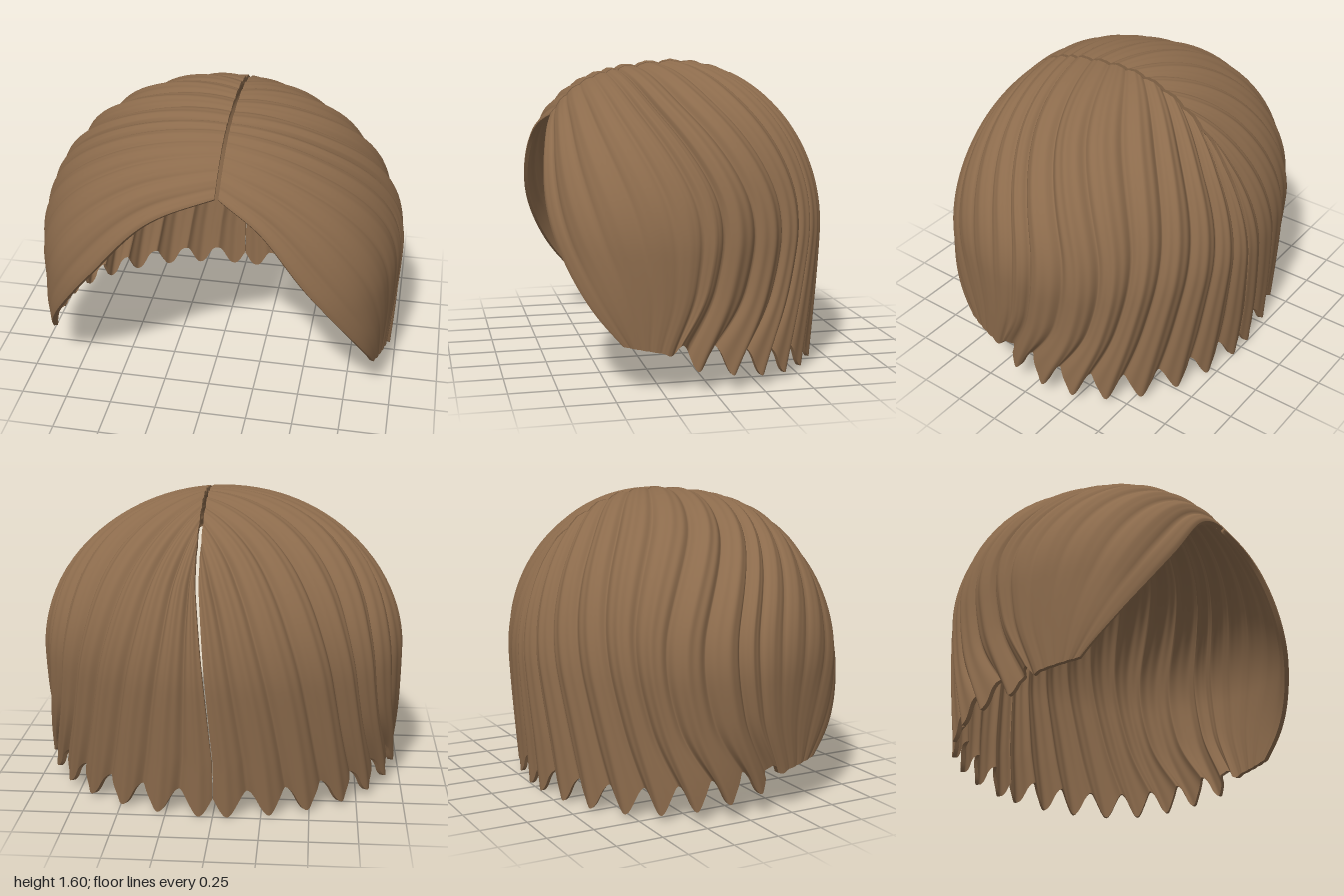
import * as THREE from 'three';

// Guide strands for one half, from the back seam round to the front edge.
// Each runs parting -> crown -> temple -> lower -> hem.
const GUIDES = [
  [[0.01, 1.28, -0.56], [0.008, 1.05, -0.72], [0.005, 0.75, -0.79], [0.003, 0.4, -0.77], [0.002, 0.07, -0.73]],
  [[0.01, 1.48, -0.34], [0.16, 1.28, -0.55], [0.28, 0.92, -0.72], [0.36, 0.5, -0.71], [0.42, 0.08, -0.67]],
  [[0.01, 1.57, -0.1], [0.35, 1.39, -0.36], [0.62, 0.95, -0.59], [0.71, 0.5, -0.55], [0.77, 0.1, -0.45]],
  [[0.01, 1.58, 0.13], [0.53, 1.41, -0.04], [0.86, 0.92, -0.34], [0.92, 0.5, -0.31], [0.95, 0.15, -0.13]],
  [[0.01, 1.52, 0.38], [0.52, 1.39, 0.32], [0.93, 0.95, 0.1], [0.98, 0.55, 0.1], [0.96, 0.21, 0.21]],
  [[0.01, 1.31, 0.68], [0.3, 1.18, 0.77], [0.57, 0.86, 0.78], [0.79, 0.48, 0.6], [0.9, 0.25, 0.44]],
];
const COLS = 250, ROWS = 44, SWEEP = 125, WAVE = 12.3;
const EQUATOR = 0.72, RX = 1, RY = 0.885, RZ = 0.8, PART_X = 0.085;
const smooth = THREE.MathUtils.smoothstep;
const clamp = THREE.MathUtils.clamp;

const spline = (pts) => new THREE.CatmullRomCurve3(pts, false, 'catmullrom', 0.5);
const rails = [0, 1, 2, 3, 4].map((r) =>
  spline(GUIDES.map((g) => new THREE.Vector3(...g[r]))));

// Scale a point radially onto the dome; below the equator only sideways.
// The dome is round from the front and fuller towards the forehead.
function ontoDome(p, scale) {
  const above = p.y > EQUATOR;
  const h = above ? (p.y - EQUATOR) / RY : 0;
  const e = 2 + 0.8 * smooth(p.z, -0.1, 0.6);
  const norm = Math.pow(Math.hypot(p.x / RX, h) ** e + Math.abs(p.z / RZ) ** e, 1 / e);
  const drop = above ? 0 : ((EQUATOR - p.y) / EQUATOR) ** 1.3;
  const k = scale / norm;
  p.x *= k * (1 - 0.035 * drop);
  p.z *= k * (1 - 0.07 * drop * smooth(-p.z, 0, 0.4));
  if (above) p.y = EQUATOR + (p.y - EQUATOR) * k;
  return p;
}

// Grid of points for one half of the hair.
function strandGrid(side, thickness) {
  const grid = [];
  for (let i = 0; i <= COLS; i++) {
    const u = i / COLS, t = u * SWEEP;
    const strand = spline(rails.map((rail) => rail.getPoint(u)));
    const phase = ((t - 4) / WAVE) * Math.PI * 2;
    // locks crowd together towards the front
    const lockPhase = phase + (Math.max(0, t - 92) / 10) * Math.PI * 2;
    const lock = Math.abs(Math.cos(lockPhase / 2));
    const fine = Math.cos(lockPhase * 3);
    const front = smooth(t, 93, 104);
    const column = [];
    for (let j = 0; j <= ROWS; j++) {
      const s = j / ROWS;
      const p = strand.getPoint(s);
      // the parting sits off centre and returns to the middle at the nape
      const shift = PART_X * Math.max(0, 1 - Math.abs(p.x)) ** 3 * clamp((p.y - 0.3) / 0.9, 0, 1);
      p.x = side * p.x + shift;
      // rounded locks with narrow creases, calmer at the parting and front sides
      const depth = (0.35 + 0.65 * smooth(s, 0, 0.3)) * (1 - front * (0.5 + 0.4 * smooth(s, 0.4, 0.75)));
      let scale = 1 - 0.045 * depth * (1 - lock) + 0.004 * depth * (fine - 1);
      scale += 0.04 * smooth(t, 112, SWEEP) * Math.sin(Math.PI * s);
      ontoDome(p, scale - thickness);
      // scalloped hem
      p.y -= 0.066 * Math.cos(phase) * (1 - front) * s ** 7;
      column.push(p);
    }
    grid.push(column);
  }
  return grid;
}

// Smooth surface through a grid of points.
function skin(grid, flip) {
  const rows = grid[0].length, index = [];
  for (let i = 0; i < grid.length - 1; i++) {
    for (let j = 0; j < rows - 1; j++) {
      const a = i * rows + j, b = a + rows;
      if (flip) index.push(a, a + 1, b, b, a + 1, b + 1);
      else index.push(a, b, a + 1, b, b + 1, a + 1);
    }
  }
  const geometry = new THREE.BufferGeometry().setFromPoints(grid.flat());
  geometry.setIndex(index);
  geometry.computeVertexNormals();
  return geometry;
}

// Closed loop of the points round the border of a grid.
function border(grid) {
  const last = grid.length - 1;
  return [
    ...grid.map((c) => c[0]),
    ...grid[last].slice(1),
    ...grid.slice(0, last).reverse().map((c) => c[ROWS]),
    ...grid[0].slice(0, ROWS).reverse(),
  ];
}

export function createModel() {
  const hair = new THREE.Group();
  hair.name = 'hair';
  const brown = new THREE.MeshStandardMaterial({ color: 0x8c6b4c, side: THREE.DoubleSide });
  brown.name = 'brown hair';

  for (const side of [1, -1]) {
    const half = new THREE.Group();
    half.name = side > 0 ? 'leftHalf' : 'rightHalf';
    const outer = strandGrid(side, 0), inner = strandGrid(side, 0.025);
    const add = (name, geometry) => {
      const mesh = new THREE.Mesh(geometry, brown);
      mesh.name = name;
      half.add(mesh);
    };
    add('outerLocks', skin(outer, side < 0));
    add('innerLocks', skin(inner, side > 0));
    // edge closing the parting, front, hem and back seam
    add('rim', skin([border(inner), border(outer)], side < 0));
    hair.add(half);
  }
  return hair;
}
